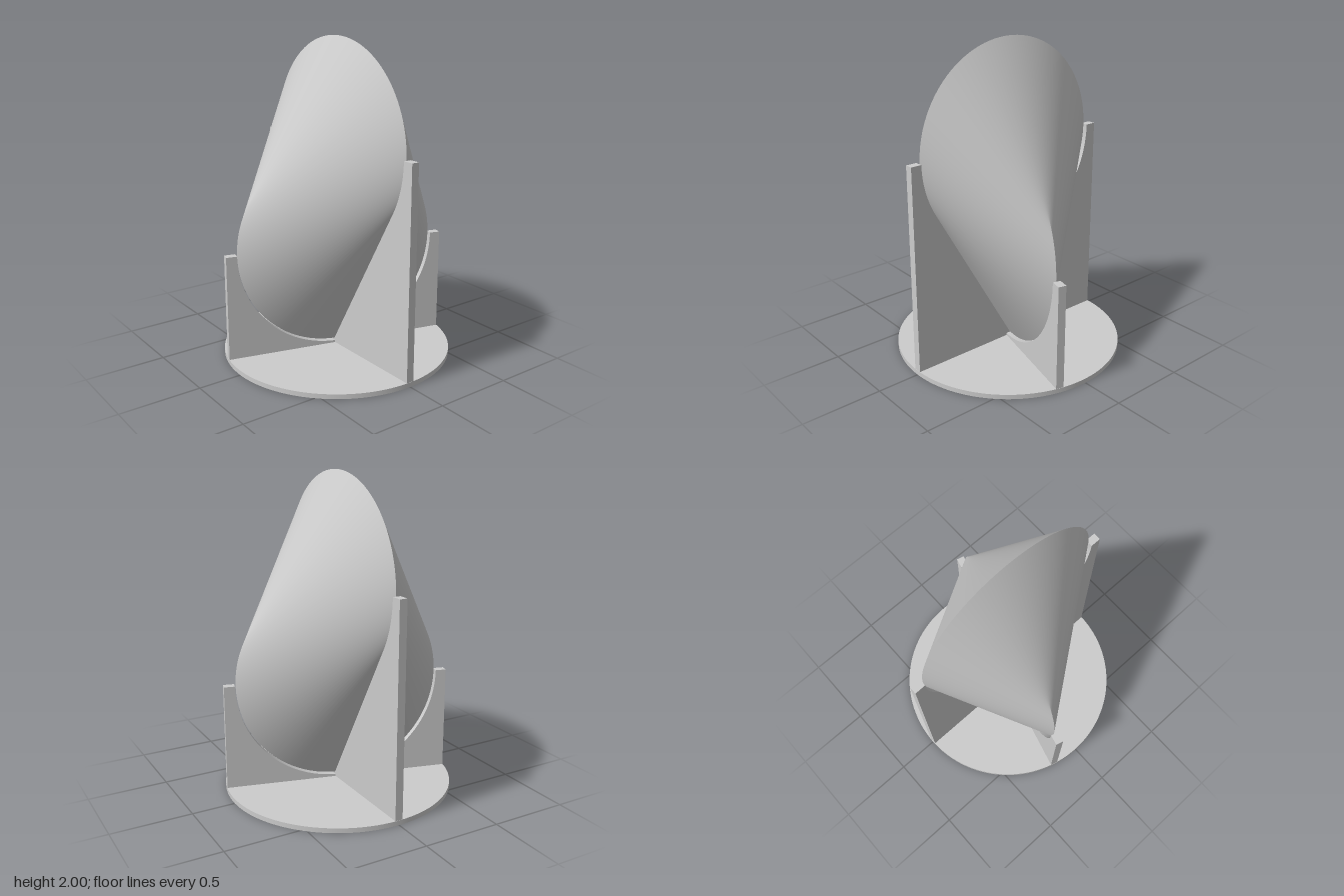
import * as THREE from 'three';

const R = 0.65;          // radius of both generating circles
const Y_UP = 1.35;       // centre of the upper circle
const Y_LOW = 0.70;      // centre of the lower circle
const TURN = -THREE.MathUtils.degToRad(105); // turn of the lower circle's plane about y
const BASE_TOP = 0.03;
const BASE_R = 0.727;

// Developable hull of two circles: a closed ring of straight rulings joining them
function solidGeometry(steps = 240) {
  const pos = [], index = [];
  for (let i = 0; i < steps; i++) {
    const u = (i / steps) * Math.PI * 2;
    const t = (Math.PI * 2 / 3) * Math.sin(u);
    // matching angle on the lower circle, where both tangents meet on the y axis
    const c = THREE.MathUtils.clamp(-Math.cos(t) / (1 + Math.cos(t)), -1, 1);
    const across = R * Math.sqrt(1 - c * c) * (Math.cos(u) >= 0 ? 1 : -1);
    pos.push(R * Math.sin(t), Y_UP + R * Math.cos(t), 0);
    pos.push(across * Math.cos(TURN), Y_LOW - R * c, -across * Math.sin(TURN));
    const a = 2 * i, b = a + 1, a2 = (2 * i + 2) % (2 * steps), b2 = a2 + 1;
    index.push(a, b, a2, b, b2, a2);
  }
  const g = new THREE.BufferGeometry();
  g.setAttribute('position', new THREE.Float32BufferAttribute(pos, 3));
  g.setIndex(index);
  g.computeVertexNormals();
  return g;
}

// Upright plate with a cradle: an arc of the given sweep, then straight to the bottom point
function cradleGeometry(top, sweep) {
  const r = R + 0.006, half = BASE_R - 0.002, thick = 0.05;
  const s = new THREE.Shape();
  s.moveTo(-half, BASE_TOP - 0.01);
  s.lineTo(half, BASE_TOP - 0.01);
  s.lineTo(half, top);
  s.lineTo(r, top);
  s.absarc(0, top, r, 0, -sweep, true);
  if (sweep < Math.PI / 2) s.lineTo(0, top - r / Math.sin(sweep));
  s.absarc(0, top, r, Math.PI + sweep, Math.PI, true);
  s.lineTo(-half, top);
  s.closePath();
  const g = new THREE.ExtrudeGeometry(s, { depth: thick, bevelEnabled: false, curveSegments: 48 });
  return g.translate(0, 0, -thick / 2);
}

export function createModel() {
  const model = new THREE.Group();
  const grey = new THREE.MeshStandardMaterial({ color: 0xcccccc });
  grey.name = 'light grey';

  const add = (name, geometry) => {
    const mesh = new THREE.Mesh(geometry, grey);
    mesh.name = name;
    model.add(mesh);
    return mesh;
  };

  // Round base plate
  add('basePlate', new THREE.CylinderGeometry(BASE_R, BASE_R, BASE_TOP, 128))
    .position.y = BASE_TOP / 2;

  // Tall cradle under the upper circle, low cradle under the lower circle
  add('tallCradle', cradleGeometry(Y_UP, Math.PI / 6));
  add('lowCradle', cradleGeometry(Y_LOW, Math.PI / 2)).rotation.y = TURN;

  // Rolling solid resting in the cradles
  add('twoCircleSolid', solidGeometry());

  return model;
}
